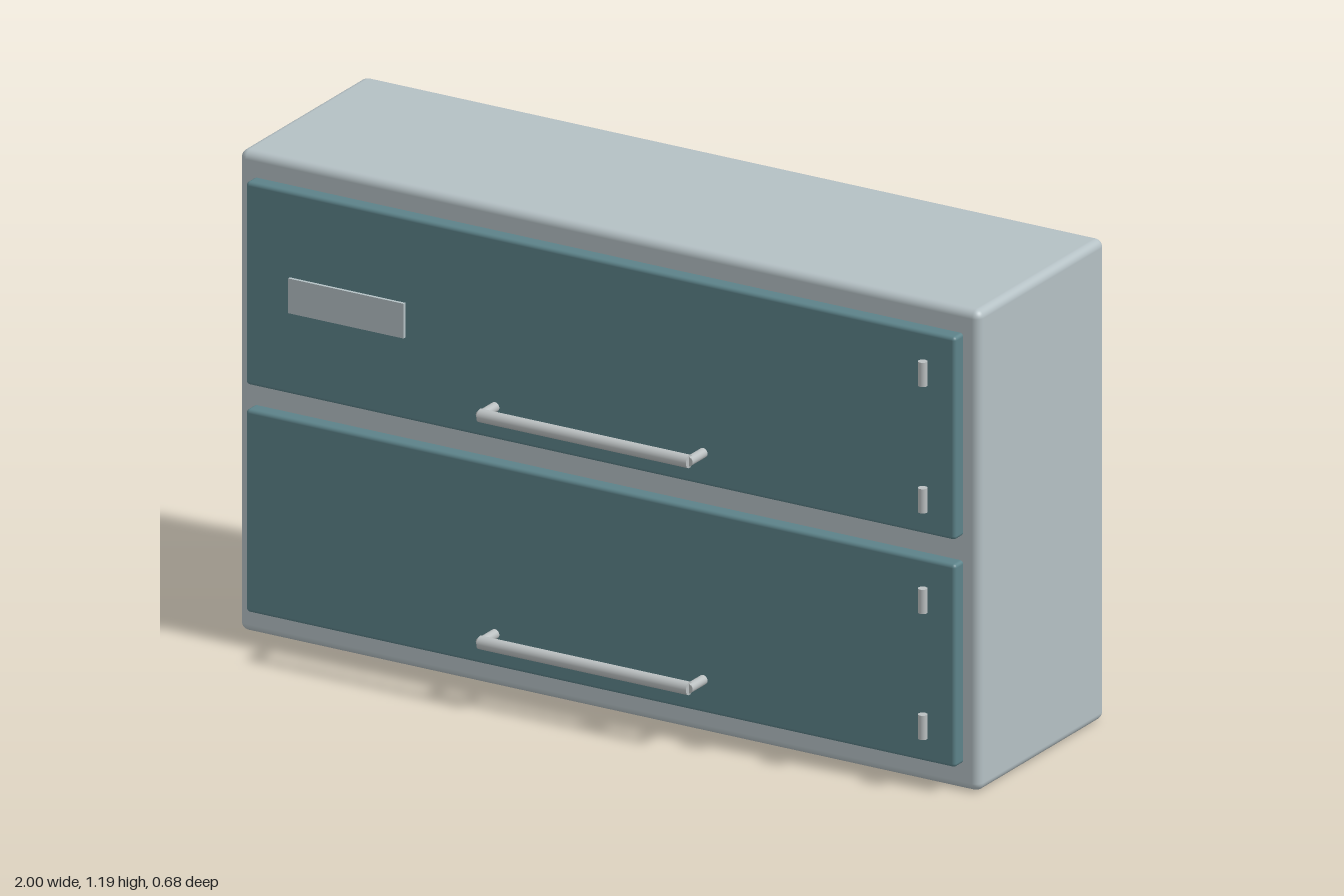
import * as THREE from 'three';
import { RoundedBoxGeometry } from 'three/addons/geometries/RoundedBoxGeometry.js';

function mat(name, color) {
  const m = new THREE.MeshStandardMaterial({ color });
  m.name = name;
  return m;
}

export function createModel() {
  const shell = mat('pale grey', 0xb4c0c4);
  const teal = mat('muted teal', 0x5c8289);
  const metal = mat('metal grey', 0xbabfc0);
  const group = new THREE.Group();
  group.name = 'wallCabinet';

  const add = (name, geometry, material, x, y, z, parent = group) => {
    const mesh = new THREE.Mesh(geometry, material);
    mesh.name = name;
    mesh.position.set(x, y, z);
    parent.add(mesh);
    return mesh;
  };

  // Cabinet body with softened edges
  add('cabinetBody', new RoundedBoxGeometry(2, 1.19, 0.56, 4, 0.02), shell, 0, 0.595, -0.06);

  // Two wide flap doors, each with a bar handle and a pair of hinge pins
  const doors = [
    { name: 'lower', y: 0.317, handleY: 0.151, pins: [0.16, 0.472] },
    { name: 'upper', y: 0.88, handleY: 0.713, pins: [0.721, 1.034] },
  ];
  for (const d of doors) {
    add(d.name + 'Door', new RoundedBoxGeometry(1.916, 0.502, 0.044, 3, 0.009), teal, -0.001, d.y, 0.235);

    const handle = new THREE.Group();
    handle.name = d.name + 'Handle';
    group.add(handle);
    const bar = add('handleBar', new THREE.CylinderGeometry(0.016, 0.016, 0.566, 20), metal, 0, d.handleY, 0.328, handle);
    bar.rotation.z = Math.PI / 2;
    for (const side of [-1, 1]) {
      const post = add('handlePost', new THREE.CylinderGeometry(0.012, 0.012, 0.066, 16), metal,
        side * 0.281, d.handleY, 0.297, handle);
      post.rotation.x = Math.PI / 2;
    }

    for (const y of d.pins) {
      add(d.name + 'HingePin', new THREE.CylinderGeometry(0.0112, 0.0112, 0.06, 16), metal, 0.88, y, 0.274);
    }
  }

  // Label plate on the upper door
  add('labelPlate', new THREE.BoxGeometry(0.312, 0.086, 0.008), shell, -0.68, 0.878, 0.266);

  return group;
}
